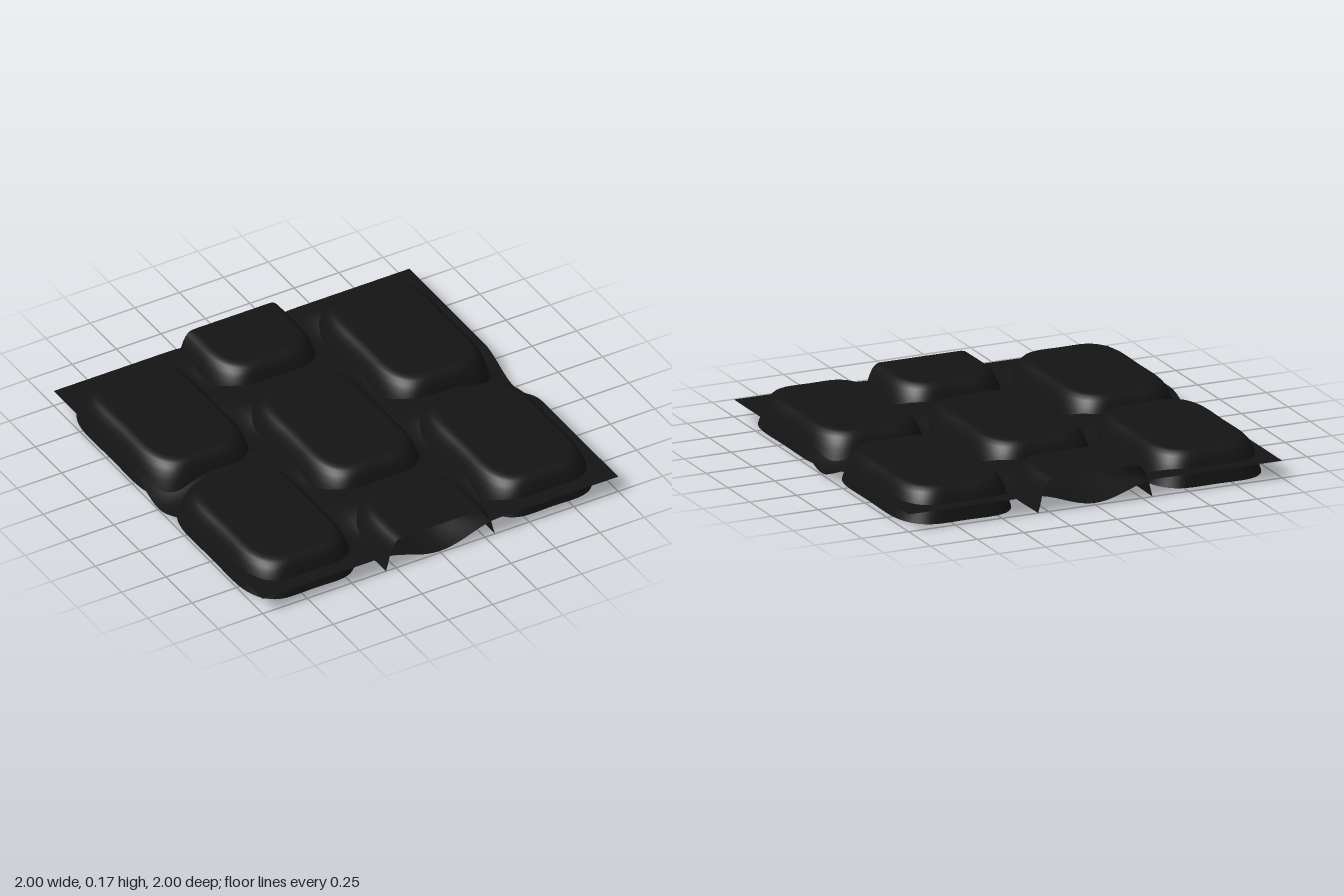
import * as THREE from 'three';

const material = new THREE.MeshStandardMaterial({ color: 0x141414, side: THREE.DoubleSide });

// Wall profile of a stone: [inset from the footprint, height]
const PROFILE = [[0, 0], [0.011, 0.04], [0.022, 0.085], [0.035, 0.118], [0.047, 0.142],
  [0.061, 0.158], [0.076, 0.167], [0.094, 0.17], [0.15, 0.17]];

// Hollow stone shell lofted from squarish rings; a part turn gives a cut stone
function stone(name, x, z, start = 0, turn = Math.PI * 2) {
  const halfX = 0.314, halfZ = 0.478, steps = 64;
  const positions = [], indices = [];
  const round = (v) => Math.sign(v) * Math.sqrt(Math.abs(v));
  PROFILE.forEach(([inset, y]) => {
    for (let i = 0; i <= steps; i++) {
      const a = start + (turn * i) / steps;
      const u = round(Math.cos(a)), v = round(Math.sin(a));
      // slightly hollowed sides and ends
      const px = u * (halfX - inset) * (0.975 + 0.12 * v * v * (1 - v * v));
      const pz = v * (halfZ - inset * 1.2) * (0.975 + 0.1 * u * u * (1 - u * u));
      positions.push(px, y, pz);
    }
  });
  const row = steps + 1, centre = PROFILE.length * row;
  positions.push(0, 0.17, 0);
  for (let r = 0; r < PROFILE.length; r++) {
    for (let i = 0; i < steps; i++) {
      const a = r * row + i;
      if (r === PROFILE.length - 1) indices.push(a, centre, a + 1);
      else indices.push(a, a + row, a + 1, a + 1, a + row, a + row + 1);
    }
  }
  const geometry = new THREE.BufferGeometry();
  geometry.setAttribute('position', new THREE.Float32BufferAttribute(positions, 3));
  geometry.setIndex(indices);
  geometry.computeVertexNormals();
  // join the shading where a full ring closes
  if (turn > 6) {
    const n = geometry.attributes.normal;
    for (let r = 0; r < PROFILE.length; r++) {
      const a = r * row, b = a + steps;
      const v = new THREE.Vector3().fromBufferAttribute(n, a)
        .add(new THREE.Vector3().fromBufferAttribute(n, b)).normalize();
      n.setXYZ(a, v.x, v.y, v.z);
      n.setXYZ(b, v.x, v.y, v.z);
    }
  }
  const mesh = new THREE.Mesh(geometry, material);
  mesh.name = name;
  mesh.position.set(x, 0, z);
  return mesh;
}

// Hollows in the ground sheet: [x, z, radius x, radius z, depth]
const HOLLOWS = [[0, 0, 0.34, 0.46, 0.075], [0, 1, 0.34, 0.46, 0.078], [0, -1, 0.34, 0.46, 0.078],
  [1, 0, 0.32, 0.28, 0.08], [-1, 0, 0.32, 0.28, 0.08]];
for (const x of [-1, 1]) {
  for (const z of [-1, 1]) {
    HOLLOWS.push([x * 0.67, z * 0.48, 0.33, 0.47, 0.055]);
    // sunken joints between neighbouring columns
    HOLLOWS.push([x * 0.34, z * 0.25, 0.2, 0.24, 0.045], [x * 0.34, z * 0.74, 0.2, 0.24, 0.045]);
  }
}

function groundHeight(x, z) {
  let y = 0.088;
  for (const [cx, cz, rx, rz, depth] of HOLLOWS) {
    const d = Math.min(1, Math.hypot((x - cx) / rx, (z - cz) / rz));
    y -= depth * (0.5 + 0.5 * Math.cos(Math.PI * d));
  }
  return Math.max(0.002, y);
}

export function createModel() {
  const model = new THREE.Group();
  model.name = 'cobbleTile';

  // Wavy ground sheet between and under the stones
  const sheet = new THREE.PlaneGeometry(2, 2, 64, 64).rotateX(-Math.PI / 2);
  const p = sheet.attributes.position;
  for (let i = 0; i < p.count; i++) p.setY(i, groundHeight(p.getX(i), p.getZ(i)));
  sheet.computeVertexNormals();
  const ground = new THREE.Mesh(sheet, material);
  ground.name = 'groundSheet';
  model.add(ground);

  // Two outer columns of whole stones
  for (const [side, x] of [['right', -0.677], ['left', 0.662]]) {
    model.add(stone(side + 'BackStone', x, -0.482));
    model.add(stone(side + 'FrontStone', x, 0.478));
  }

  // Middle column: one whole stone and two cut by the tile edge
  model.add(stone('middleStone', 0, -0.005));
  model.add(stone('frontCutStone', 0, 1, Math.PI, Math.PI));
  model.add(stone('backCutStone', 0, -1, 0, Math.PI));
  return model;
}
